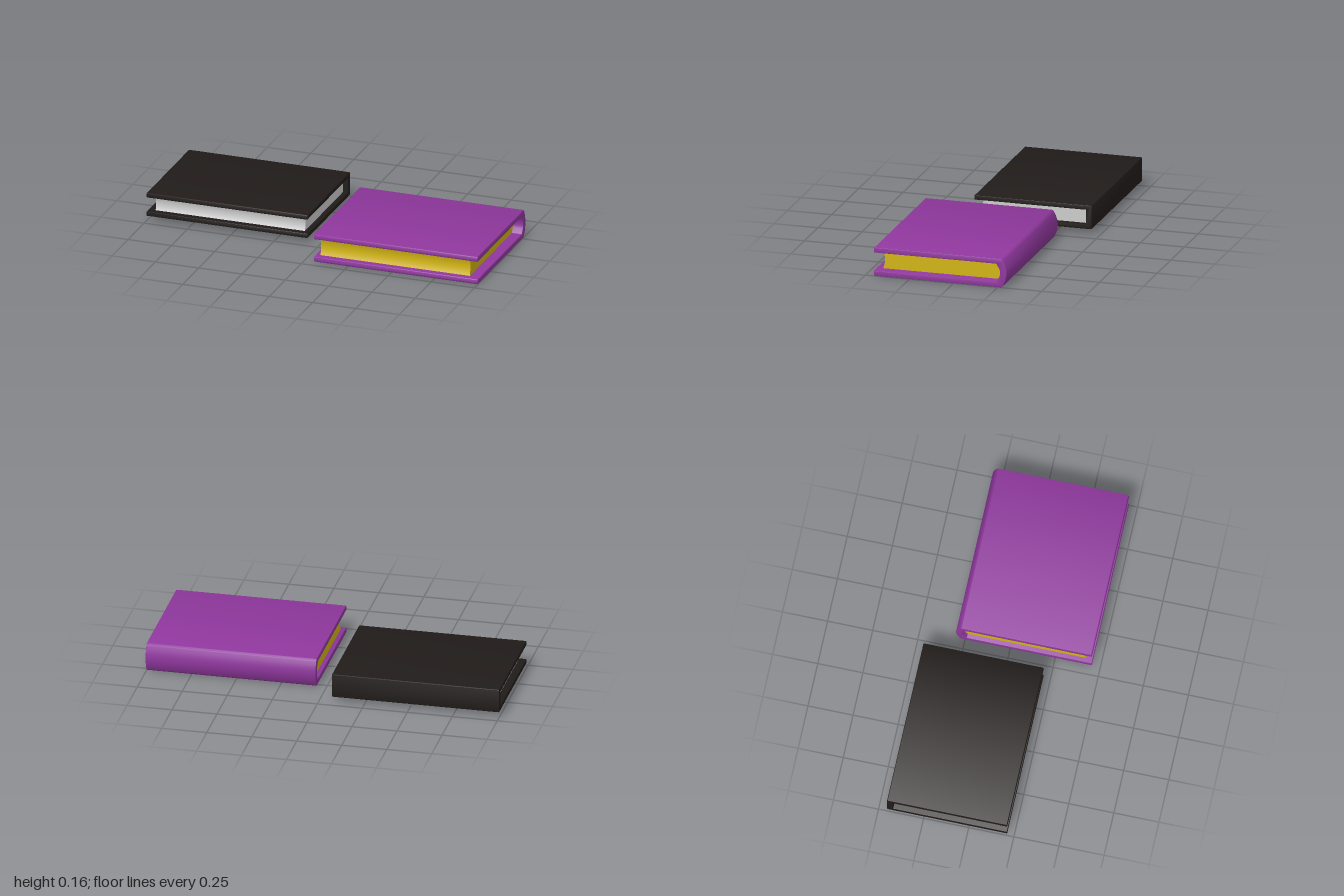
import * as THREE from 'three';
import { toCreasedNormals } from 'three/addons/utils/BufferGeometryUtils.js';

// Extrudes a side profile (drawn with u = -z, v = y) along x from x0 to x1.
function extrudeAlongX(name, shape, x0, x1, bevel, material) {
  const geo = new THREE.ExtrudeGeometry(shape, {
    depth: x1 - x0 - 2 * bevel,
    bevelEnabled: bevel > 0,
    bevelSize: bevel,
    bevelThickness: bevel,
    bevelOffset: -bevel,
    bevelSegments: 2,
    curveSegments: 10,
  });
  geo.rotateY(Math.PI / 2);
  geo.translate(x0 + bevel, 0, 0);
  const mesh = new THREE.Mesh(toCreasedNormals(geo, 0.55), material);
  mesh.name = name;
  return mesh;
}

// C-shaped case: two boards joined by a spine; bulge rounds the spine.
function coverShape({ y0, y1, front, spine, board, spineWall, bulge, round }) {
  const f = -front, b = -spine, mid = (y0 + y1) / 2, r = round;
  const shoulder = b - bulge, inner = b - spineWall, innerShoulder = inner - bulge * 0.6;
  const s = new THREE.Shape();
  s.moveTo(f + r, y0);
  if (bulge > 0) {
    s.lineTo(shoulder, y0);
    s.quadraticCurveTo(shoulder + 0.012, y0 + 0.002, shoulder + 0.018, y0 + 0.016);
    s.quadraticCurveTo(b + 0.017, mid, shoulder + 0.018, y1 - 0.016);
    s.quadraticCurveTo(shoulder + 0.012, y1 - 0.002, shoulder, y1);
  } else {
    s.lineTo(b - r, y0);
    s.quadraticCurveTo(b, y0, b, y0 + r);
    s.lineTo(b, y1 - r);
    s.quadraticCurveTo(b, y1, b - r, y1);
  }
  // Upper board edge, then the inside face back to the lower board
  s.lineTo(f + r, y1);
  s.quadraticCurveTo(f, y1, f, y1 - r);
  s.lineTo(f, y1 - board + r * 0.6);
  s.quadraticCurveTo(f, y1 - board, f + r * 0.6, y1 - board);
  s.lineTo(innerShoulder, y1 - board);
  if (bulge > 0) s.lineTo(inner - 0.005, mid + 0.026);
  s.lineTo(inner, mid + 0.01);
  s.lineTo(inner, mid - 0.01);
  if (bulge > 0) s.lineTo(inner - 0.005, mid - 0.026);
  s.lineTo(innerShoulder, y0 + board);
  s.lineTo(f + r * 0.6, y0 + board);
  s.quadraticCurveTo(f, y0 + board, f, y0 + board - r * 0.6);
  s.lineTo(f, y0 + r);
  s.quadraticCurveTo(f, y0, f + r, y0);
  return s;
}

// Page block with a hollow fore-edge, fitted against the inside of the case.
function pageShape({ y0, y1, spine, board, spineWall, bulge, pageFront, hollow }) {
  const f = -pageFront, inner = -spine - spineWall, mid = (y0 + y1) / 2;
  const lo = y0 + board, hi = y1 - board, shoulder = inner - bulge * 0.6;
  const s = new THREE.Shape();
  s.moveTo(f, lo);
  s.lineTo(shoulder, lo);
  if (bulge > 0) s.lineTo(inner - 0.005, mid - 0.026);
  s.lineTo(inner, mid - 0.01);
  s.lineTo(inner, mid + 0.01);
  if (bulge > 0) s.lineTo(inner - 0.005, mid + 0.026);
  s.lineTo(shoulder, hi);
  s.lineTo(f, hi);
  s.quadraticCurveTo(f + 2 * hollow, mid, f, lo);
  return s;
}

function makeBook(name, o) {
  const book = new THREE.Group();
  book.name = name;
  const coverMat = new THREE.MeshStandardMaterial({ color: o.coverColor });
  const pageMat = new THREE.MeshStandardMaterial({ color: o.pageColor });
  book.add(
    extrudeAlongX('cover', coverShape(o), o.x0, o.x1, 0.004, coverMat),
    extrudeAlongX('pages', pageShape(o), o.pageX0, o.pageX1, 0, pageMat),
  );
  return book;
}

export function createModel() {
  const model = new THREE.Group();
  model.name = 'books';
  model.add(
    // Thick book with rounded spine
    makeBook('roundSpineBook', {
      x0: 0.055, x1: 1, y0: 0, y1: 0.162, front: 0.453, spine: -0.301,
      board: 0.03, spineWall: 0.039, bulge: 0.036, round: 0.011,
      pageX0: 0.08, pageX1: 0.942, pageFront: 0.417, hollow: 0.011,
      coverColor: 0x8f379d, pageColor: 0xd1b414,
    }),
    // Thinner book with square spine
    makeBook('flatSpineBook', {
      x0: -1, x1: -0.07, y0: 0.028, y1: 0.162, front: 0.213, spine: -0.453,
      board: 0.026, spineWall: 0.034, bulge: 0, round: 0.006,
      pageX0: -0.96, pageX1: -0.098, pageFront: 0.178, hollow: 0.01,
      coverColor: 0x211c1a, pageColor: 0xcccccc,
    }),
  );
  return model;
}
